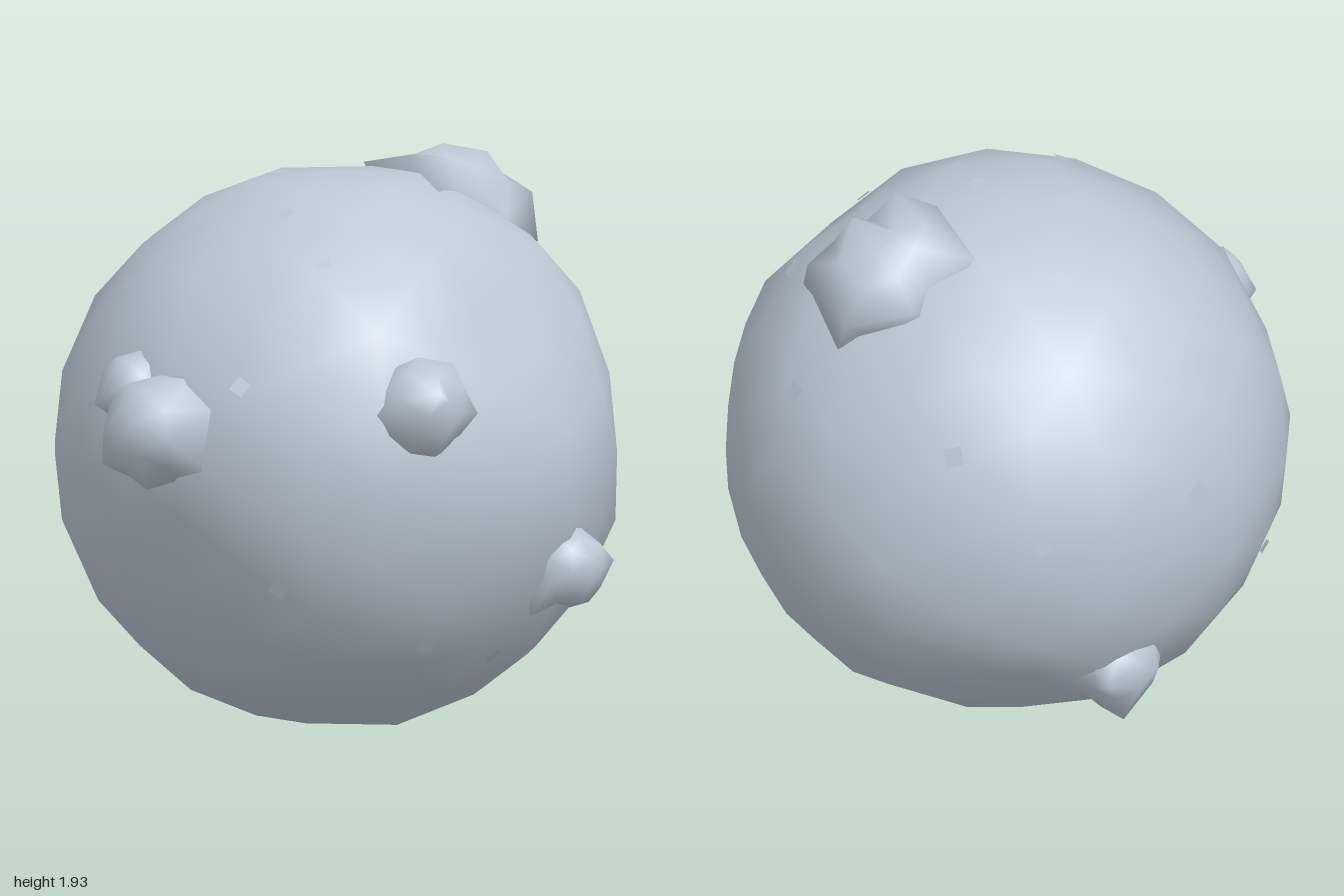
import * as THREE from 'three';
import { mergeVertices } from 'three/addons/utils/BufferGeometryUtils.js';

const V = (a) => new THREE.Vector3(...a);
const CENTRE = V([0, 0.945, -0.035]);

// Small seeded generator, range -1..1
function seeded(seed) {
  let s = seed;
  return () => {
    s = (s * 16807) % 2147483647;
    return (s / 2147483647) * 2 - 1;
  };
}

// Indexed icosphere, so that vertices move together and normals stay smooth
function icosphere(detail) {
  const g = new THREE.IcosahedronGeometry(1, detail);
  g.deleteAttribute('uv');
  g.deleteAttribute('normal');
  return mergeVertices(g, 1e-3);
}

// Large body: uneven sphere with broad worn flats
function bodyGeometry() {
  const rand = seeded(71);
  const g = icosphere(3);
  const p = g.attributes.position;
  const flats = [
    { dir: V([0.55, 0.5, 0.65]).normalize(), limit: 0.87 },
    { dir: V([-0.7, -0.35, 0.6]).normalize(), limit: 0.885 },
    { dir: V([0.15, -0.7, -0.7]).normalize(), limit: 0.885 },
    { dir: V([0.55, 0.65, -0.45]).normalize(), limit: 0.92 },
    { dir: V([-0.5, 0.8, 0.2]).normalize(), limit: 0.93 },
  ];
  const v = new THREE.Vector3();
  for (let i = 0; i < p.count; i++) {
    v.fromBufferAttribute(p, i).normalize().multiplyScalar(0.962 + rand() * 0.013);
    for (const { dir, limit } of flats) {
      const over = v.dot(dir) - limit;
      if (over > 0) v.addScaledVector(dir, -over * 0.85);
    }
    v.add(CENTRE);
    p.setXYZ(i, v.x, THREE.MathUtils.clamp(v.y, 0, 1.885), v.z);
  }
  g.computeVertexNormals();
  return g;
}

// Boulder: rough icosphere whose nearest vertices are pulled out to the given corners
function boulderGeometry(at, size, corners) {
  const rand = seeded(37);
  const g = icosphere(1);
  const p = g.attributes.position;
  const c = V(at), v = new THREE.Vector3();
  const dirs = [];
  for (let i = 0; i < p.count; i++) {
    v.fromBufferAttribute(p, i).normalize();
    dirs.push(v.clone());
    v.multiplyScalar(size * (1 + rand() * 0.06)).add(c);
    p.setXYZ(i, v.x, v.y, v.z);
  }
  const used = new Set();
  for (const corner of corners) {
    const d = V(corner).sub(c).normalize();
    let best = -1;
    dirs.forEach((q, i) => {
      if (!used.has(i) && (best < 0 || q.dot(d) > dirs[best].dot(d))) best = i;
    });
    used.add(best);
    p.setXYZ(best, ...corner);
  }
  g.computeVertexNormals();
  return g;
}

// Directions of the small chips from the body centre
const CHIPS = [
  [-0.15, 0.7, 0.6], [-0.24, 0.86, 0.36], [0.41, 0.7, 0.36], [0.46, 0.5, 0.54],
  [-0.46, 0.33, 0.77], [-0.34, -0.36, 0.81], [0.18, -0.57, 0.75], [0.43, -0.63, 0.57],
  [0.32, -0.82, 0.43], [0.7, 0.65, 0.08], [0.76, 0.46, -0.38], [0.88, -0.07, -0.33],
  [0.8, -0.31, -0.4], [0.65, -0.72, 0.04], [0.26, 0.42, -0.8], [-0.15, 0.85, -0.42],
  [-0.2, 0.93, -0.04], [0.08, 0.95, 0.1], [-0.74, 0.6, 0.09], [-0.57, 0.18, -0.74],
  [-0.02, 0.13, -0.94], [-0.81, -0.23, -0.43], [-0.83, -0.47, -0.03], [0.12, -0.57, -0.76],
];

export function createModel() {
  const group = new THREE.Group();
  const stone = new THREE.MeshStandardMaterial({ color: 0xbcc8d4 });
  stone.name = 'greyStone';
  const add = (name, geometry) => {
    const mesh = new THREE.Mesh(geometry, stone);
    mesh.name = name;
    group.add(mesh);
    return mesh;
  };

  const body = add('rockBody', bodyGeometry());

  // Boulders half sunk into the body
  add('topBoulder', boulderGeometry([0.41, 1.71, -0.22], 0.22, [
    [0.14, 1.86, -0.37], [0.37, 1.75, -0.53], [0.6, 1.68, -0.48], [0.69, 1.77, -0.2],
    [0.69, 1.62, -0.08], [0.32, 1.83, 0.1], [0.24, 1.92, -0.12], [0.53, 1.92, -0.16],
    [0.4, 1.93, -0.29], [0.37, 1.93, -0.03], [0.61, 1.55, -0.4]]));
  add('sideBoulder', boulderGeometry([-0.71, 1.1, 0.51], 0.185, [
    [-0.9, 0.99, 0.5], [-0.76, 0.91, 0.58], [-0.55, 0.98, 0.71], [-0.54, 1.2, 0.7],
    [-0.59, 1.3, 0.58]]));
  add('sideBoulderCrest', boulderGeometry([-0.76, 1.22, 0.38], 0.13, [
    [-0.81, 1.3, 0.22], [-0.91, 1.18, 0.4], [-0.7, 1.37, 0.4]]));
  add('frontBoulder', boulderGeometry([0.14, 1.2, 0.82], 0.165, [
    [-0.06, 1.19, 0.86], [0.13, 1.385, 0.84], [0.25, 1.36, 0.84], [0.33, 1.19, 0.86],
    [0.14, 1.02, 0.87], [0.18, 1.28, 1]]));
  add('rightBoulder', boulderGeometry([0.69, 0.6, 0.52], 0.14, [
    [0.7, 0.77, 0.56], [0.85, 0.62, 0.53], [0.72, 0.44, 0.4], [0.55, 0.45, 0.62]]));
  add('backBoulder', boulderGeometry([-0.29, 0.45, -0.72], 0.16, [
    [-0.25, 0.48, -0.95], [-0.31, 0.29, -0.86], [-0.27, 0.61, -0.84]]));

  // Small diamond chips hovering just over the body surface
  const chipShape = new THREE.CircleGeometry(0.04, 4);
  const rand = seeded(101);
  const ray = new THREE.Raycaster();
  for (const dir of CHIPS) {
    const out = V(dir).normalize();
    ray.set(CENTRE.clone().addScaledVector(out, 2), out.clone().negate());
    const hit = ray.intersectObject(body)[0];
    const chip = add('surfaceChip', chipShape);
    chip.position.copy(hit.point).addScaledVector(hit.face.normal, 0.012);
    chip.quaternion.setFromUnitVectors(new THREE.Vector3(0, 0, 1), hit.face.normal);
    chip.rotateZ(rand() * 0.6);
    chip.scale.setScalar(1 + rand() * 0.2);
  }
  return group;
}
